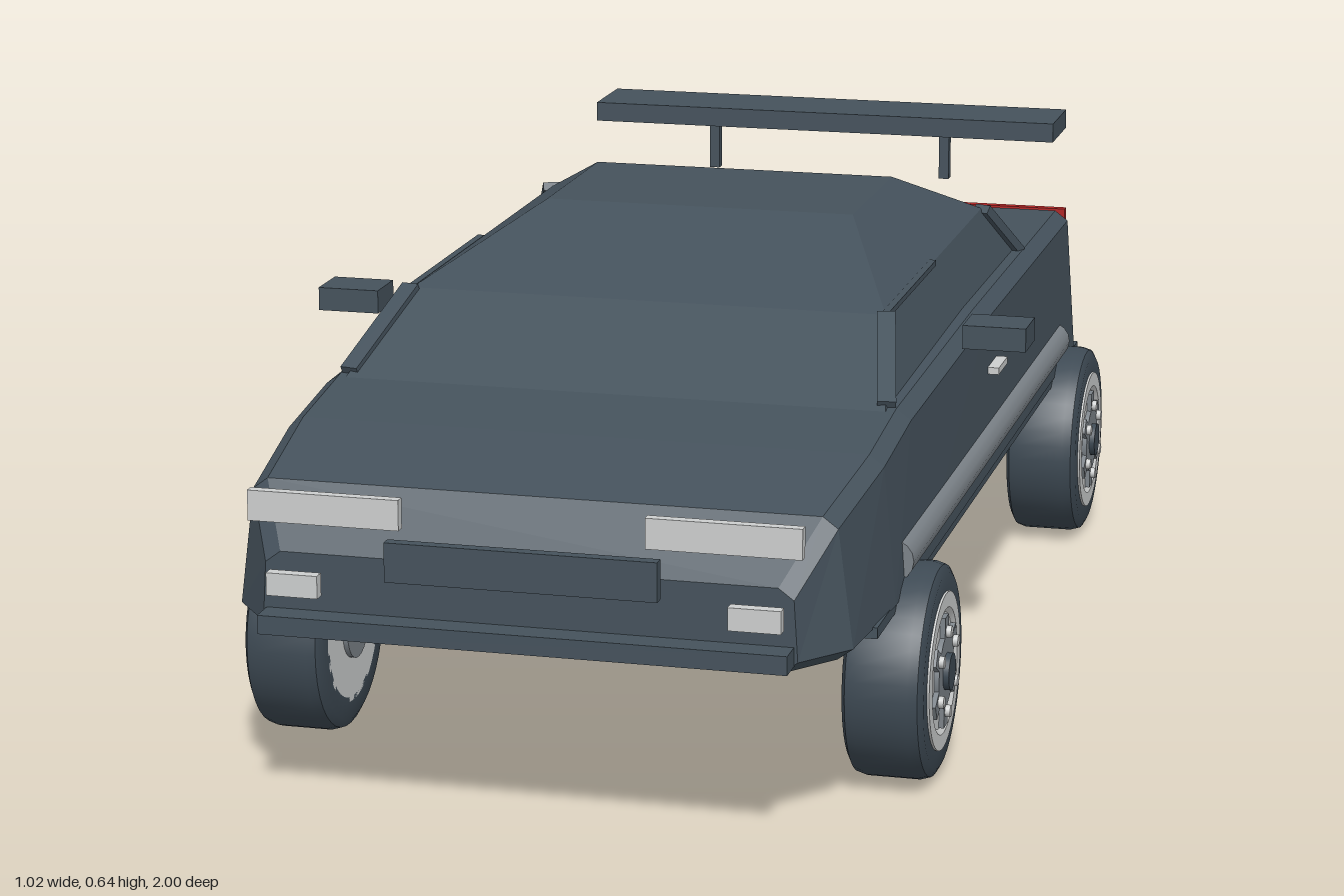
import * as THREE from 'three';
import { toCreasedNormals } from 'three/addons/utils/BufferGeometryUtils.js';

const mat = (name, color) => Object.assign(new THREE.MeshStandardMaterial({ color }), { name });

export function createModel() {
  const car = new THREE.Group();
  car.name = 'car';
  const paint = mat('slate paint', 0x45525c);
  const rubber = mat('tyre rubber', 0x3e4a54);
  const silver = mat('silver', 0xcdcfcf);
  const steel = mat('grey steel', 0x7c8389);
  const red = mat('tail red', 0xb02424);

  const add = (name, geo, material, x = 0, y = 0, z = 0, parent = car) => {
    const m = new THREE.Mesh(geo, material);
    m.name = name;
    m.position.set(x, y, z);
    parent.add(m);
    return m;
  };
  const box = (name, material, w, h, d, x, y, z, parent) =>
    add(name, new THREE.BoxGeometry(w, h, d), material, x, y, z, parent);

  // Faceted skin over a series of rings, capped at both ends
  const loft = (rings) => {
    const out = [];
    const tri = (a, b, c) => out.push(...a, ...b, ...c);
    const n = rings[0].length;
    for (let s = 0; s < rings.length - 1; s++) {
      for (let i = 0; i < n; i++) {
        const j = (i + 1) % n;
        const [a, b, c, d] = [rings[s][i], rings[s][j], rings[s + 1][j], rings[s + 1][i]];
        tri(a, d, c);
        tri(a, c, b);
      }
    }
    const first = rings[0], last = rings[rings.length - 1];
    for (let i = 1; i < n - 1; i++) {
      tri(first[0], first[i], first[i + 1]);
      tri(last[0], last[i + 1], last[i]);
    }
    const g = new THREE.BufferGeometry();
    g.setAttribute('position', new THREE.Float32BufferAttribute(out, 3));
    g.computeVertexNormals();
    return g;
  };

  // Square bar between two points
  const bar = (name, a, b, w, h) => {
    const p = new THREE.Vector3(...a), q = new THREE.Vector3(...b);
    const m = box(name, paint, w, h, p.distanceTo(q), 0, 0, 0);
    m.position.copy(p).add(q).multiplyScalar(0.5);
    m.lookAt(q);
  };

  // Lower body: z, half width at the sill, half width at the shoulder, bottom, top
  const stations = [
    [0.96, 0.35, 0.345, 0.25, 0.36],
    [0.89, 0.405, 0.385, 0.25, 0.435],
    [0.70, 0.42, 0.403, 0.25, 0.465],
    [0.54, 0.42, 0.405, 0.25, 0.485],
    [0.0, 0.42, 0.405, 0.25, 0.493],
    [-0.70, 0.42, 0.405, 0.25, 0.49],
    [-0.875, 0.385, 0.375, 0.25, 0.435],
    [-0.94, 0.355, 0.345, 0.265, 0.35],
  ];
  add('body', loft(stations.map(([z, wb, wt, yb, yt]) => [
    [-wb + 0.02, yb, z], [wb - 0.02, yb, z], [wb, yb + 0.015, z], [wt, yt - 0.015, z],
    [wt - 0.02, yt, z], [-wt + 0.02, yt, z], [-wt, yt - 0.015, z], [-wb, yb + 0.015, z],
  ])), paint);

  // Cabin: half width, height, front z, rear z, from the roof down
  const tiers = [[0.225, 0.64, 0.08, -0.19], [0.335, 0.57, 0.375, -0.325], [0.375, 0.48, 0.56, -0.42]];
  add('cabin', loft(tiers.map(([w, y, f, r]) => [[-w, y, f], [w, y, f], [w, y, r], [-w, y, r]])), paint);

  // Front lip and grille
  box('frontLip', paint, 0.69, 0.025, 0.05, 0, 0.272, 0.972);
  box('grille', paint, 0.355, 0.052, 0.016, 0, 0.364, 0.98);

  // Rear wing
  box('wingBlade', paint, 0.75, 0.03, 0.125, 0, 0.61, -0.785);

  // Rear bumper
  const tube = (r, len) => new THREE.CylinderGeometry(r, r, len, 16);
  add('rearBumper', tube(0.024, 0.7), steel, 0, 0.323, -0.945).rotation.z = Math.PI / 2;

  // Wheel built around the x axis, outer face towards +x
  const lathe = (pts) => toCreasedNormals(
    new THREE.LatheGeometry(pts.map(([r, h]) => new THREE.Vector2(r, h)), 40).rotateZ(-Math.PI / 2), 0.6);
  const tyreGeo = lathe([[0.1, -0.054], [0.13, -0.054], [0.141, -0.048], [0.145, -0.035],
    [0.145, 0.035], [0.141, 0.048], [0.13, 0.054], [0.1, 0.054]]);
  const rimGeo = lathe([[0, -0.054], [0.106, -0.054], [0.106, 0.057], [0.085, 0.057], [0.078, 0.052], [0, 0.052]]);
  const disc = (r, t, n = 24) => new THREE.CylinderGeometry(r, r, t, n).rotateZ(Math.PI / 2);
  const discGeo = disc(0.05, 0.012), hubGeo = disc(0.025, 0.026), lugGeo = disc(0.008, 0.022, 10);
  const innerGeo = disc(0.045, 0.014);

  const makeWheel = (name, x, z) => {
    const wheel = new THREE.Group();
    wheel.name = name;
    add('tyre', tyreGeo, rubber, 0, 0, 0, wheel);
    add('rim', rimGeo, silver, 0, 0, 0, wheel);
    add('wheelDisc', discGeo, steel, 0.053, 0, 0, wheel);
    add('innerHub', innerGeo, steel, -0.054, 0, 0, wheel);
    add('hubCap', hubGeo, rubber, 0.054, 0, 0, wheel);
    for (let i = 0; i < 6; i++) {
      const a = i * Math.PI / 3 + Math.PI / 6;
      const spoke = box('spoke', steel, 0.01, 0.028, 0.024, 0.054, 0.062 * Math.sin(a), 0.062 * Math.cos(a), wheel);
      spoke.rotation.x = Math.PI / 2 - a;
      add('lug', lugGeo, silver, 0.055, 0.055 * Math.cos(a - Math.PI / 6), 0.055 * Math.sin(a - Math.PI / 6), wheel);
    }
    wheel.position.set(x, 0.147, z);
    if (x < 0) wheel.rotation.y = Math.PI;
    car.add(wheel);
  };

  // Mirrored parts
  for (const s of [1, -1]) {
    const side = s > 0 ? 'left' : 'right';
    makeWheel(side + 'FrontWheel', s * 0.409, 0.597);
    makeWheel(side + 'RearWheel', s * 0.409, -0.597);

    box(side + 'Headlight', silver, 0.2, 0.04, 0.014, s * 0.26, 0.424, 0.973);
    box(side + 'FogLight', silver, 0.068, 0.03, 0.016, s * 0.301, 0.324, 0.98);
    box(side + 'TailLight', red, 0.185, 0.035, 0.014, s * 0.272, 0.428, -0.925);
    box(side + 'BumperGuard', silver, 0.05, 0.032, 0.04, s * 0.256, 0.314, -0.98);
    box(side + 'WingPost', paint, 0.016, 0.08, 0.016, s * 0.19, 0.557, -0.78);
    box(side + 'Mirror', paint, 0.088, 0.033, 0.07, s * 0.465, 0.519, 0.235);
    box(side + 'DoorHandle', silver, 0.02, 0.01, 0.07, s * 0.416, 0.406, -0.025);

    // Sill tube and the skirt below it
    add(side + 'Sill', tube(0.029, 1.225), steel, s * 0.402, 0.307, 0.027).rotation.x = Math.PI / 2;
    box(side + 'Skirt', paint, 0.02, 0.015, 1.55, s * 0.408, 0.26, 0.03);

    // Window pillars and roof rail
    bar(side + 'FrontPillar', [s * 0.372, 0.488, 0.54], [s * 0.336, 0.57, 0.375], 0.025, 0.014);
    bar(side + 'RearPillar', [s * 0.374, 0.488, -0.412], [s * 0.336, 0.57, -0.322], 0.025, 0.014);
    bar(side + 'RoofRail', [s * 0.335, 0.57, 0.375], [s * 0.335, 0.57, 0.05], 0.01, 0.008);
  }
  return car;
}
